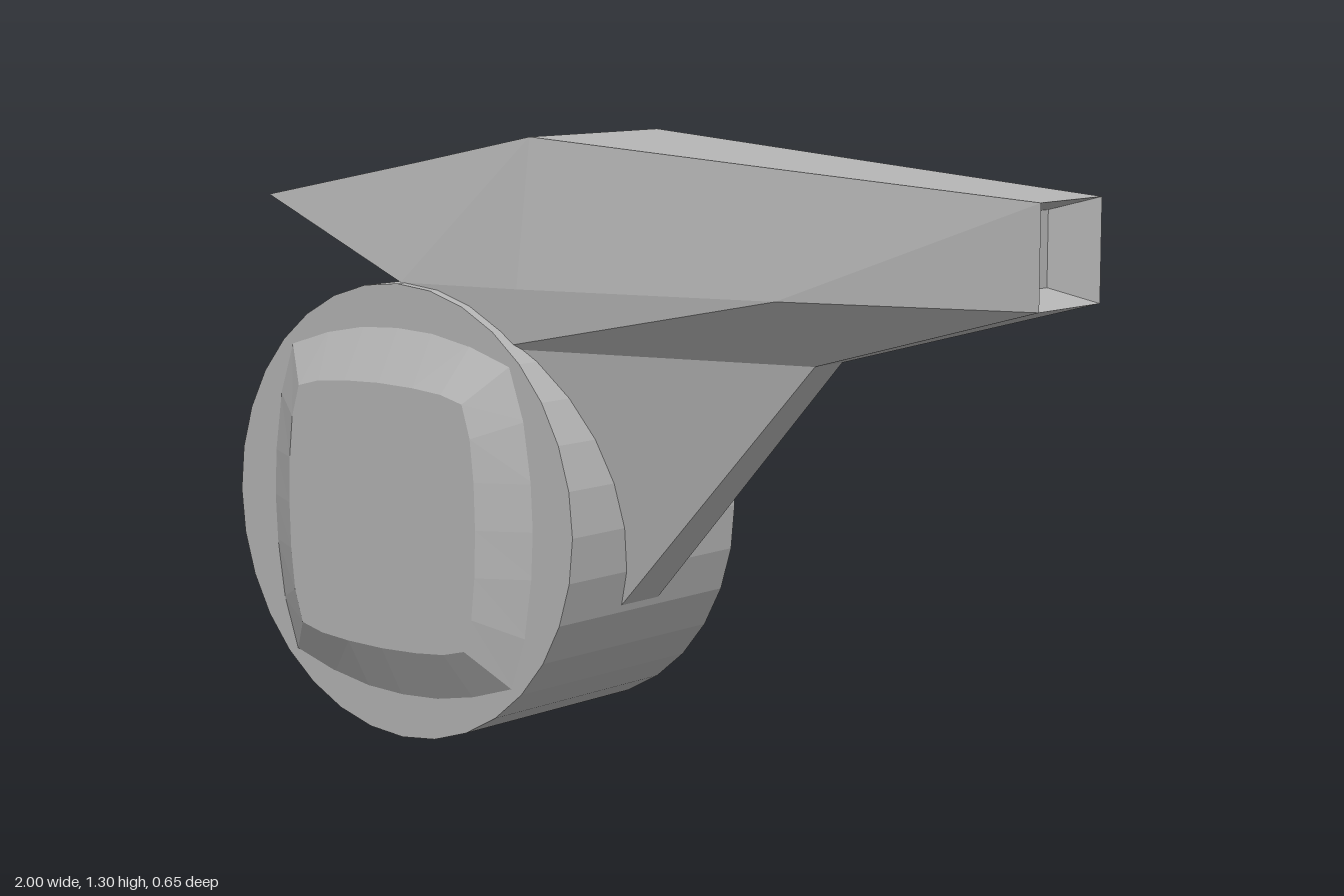
import * as THREE from 'three';

const grey = new THREE.MeshStandardMaterial({ color: 0xb4b4b4, flatShading: true });
grey.name = 'plain grey';

// Flat mesh from polygons, each given counter-clockwise as seen from outside
function polyMesh(name, polys) {
  const pos = [];
  for (const p of polys)
    for (let i = 1; i < p.length - 1; i++) pos.push(...p[0], ...p[i], ...p[i + 1]);
  const g = new THREE.BufferGeometry();
  g.setAttribute('position', new THREE.Float32BufferAttribute(pos, 3));
  g.computeVertexNormals();
  const m = new THREE.Mesh(g, grey);
  m.name = name;
  return m;
}

// A point on the hull as [left, right] pair
const pair = (x, y, zl, zr) => [[x, y, zl], [x, y, zr]];

// Adds a face on the left and its counterpart on the right
function both(polys, ...pairs) {
  polys.push(pairs.map(p => p[0]), pairs.map(p => p[1]).reverse());
}
// Face spanning from left to right between two pairs
const across = (a, b) => [a[0], b[0], b[1], a[1]];

function buildHull() {
  const polys = [];
  const top = [
    pair(-1, 1.14, 0.165, -0.19), pair(-0.52, 1.232, 0.183, -0.2), pair(-0.19, 1.297, 0.2, -0.207),
    pair(0.44, 1.253, 0.156, -0.148), pair(1, 1.215, 0.117, -0.092),
  ];
  const low = [
    top[0], pair(-0.52, 0.98, 0.243, -0.257), pair(-0.19, 0.987, 0.243, -0.255),
    pair(0.44, 1.0, 0.19, -0.185), pair(1, 1.012, 0.117, -0.092),
  ];
  for (let i = 0; i < 4; i++) {
    both(polys, low[i], low[i + 1], top[i + 1], top[i]);
    polys.push(across(top[i], top[i + 1]));
  }
  polys.push(across(low[1], low[0]));

  // Muzzle: a tapering recess with a flat back
  const inTop = pair(0.9, 1.187, 0.09, -0.062), inLow = pair(0.9, 1.038, 0.09, -0.062);
  both(polys, top[4], low[4], inLow, inTop);
  polys.push(across(inTop, top[4]).reverse(), across(low[4], inLow).reverse(), across(inTop, inLow));
  return polyMesh('upperHull', polys);
}

function buildKeel() {
  const polys = [];
  const a = pair(-0.52, 0.98, 0.243, -0.257), b = pair(-0.19, 0.987, 0.243, -0.255);
  const c = pair(0.44, 1.0, 0.19, -0.185), d = pair(1, 1.012, 0.117, -0.092);
  const rear = pair(-0.52, 0.86, 0.24, -0.25), mid = pair(-0.26, 0.86, 0.24, -0.25);
  const nose = pair(0.44, 0.86, 0.06, -0.03), foot = pair(-0.2, 0.156, 0.078, -0.05);
  both(polys, rear, mid, b, a);
  both(polys, mid, nose, c, b);
  both(polys, nose, d, c);
  both(polys, foot, nose, mid);
  polys.push(across(d, nose), across(nose, foot));
  return polyMesh('keel', polys);
}

// Raised cap with bulging sides; s is +1 for the front side, -1 for the back
function buildCap(s) {
  const outer = [[0.39, 0], [0.385, 0.1], [0.365, 0.23], [0.325, 0.345], [0.21, 0.38], [0.1, 0.4]];
  const inner = [[0.275, 0], [0.272, 0.1], [0.262, 0.19], [0.24, 0.26], [0.18, 0.275], [0.1, 0.282]];
  const top = [[0, 0.405], [0, 0.285]];
  const loop = (q, end, z) => {
    const half = [...q, end, ...q.slice().reverse().map(([x, y]) => [-x, y])];
    const full = [...half, ...half.slice(1, -1).reverse().map(([x, y]) => [x, -y])];
    return full.map(([x, y]) => [x - 0.51, y + 0.49, z * s]);
  };
  const o = loop(outer, top[0], 0.26), n = loop(inner, top[1], 0.325);
  const polys = [n];
  o.forEach((p, i) => {
    const j = (i + 1) % o.length;
    polys.push([p, o[j], n[j], n[i]]);
  });
  return polyMesh(s > 0 ? 'frontCap' : 'backCap', s > 0 ? polys : polys.map(p => p.slice().reverse()));
}

export function createModel() {
  const group = new THREE.Group();
  group.name = 'model';

  // Drum lying across the model
  const drum = new THREE.Mesh(new THREE.CylinderGeometry(0.49, 0.49, 0.53, 32), grey);
  drum.name = 'drum';
  drum.rotation.x = Math.PI / 2;
  drum.position.set(-0.51, 0.49, 0);

  group.add(drum, buildCap(1), buildCap(-1), buildHull(), buildKeel());
  return group;
}
